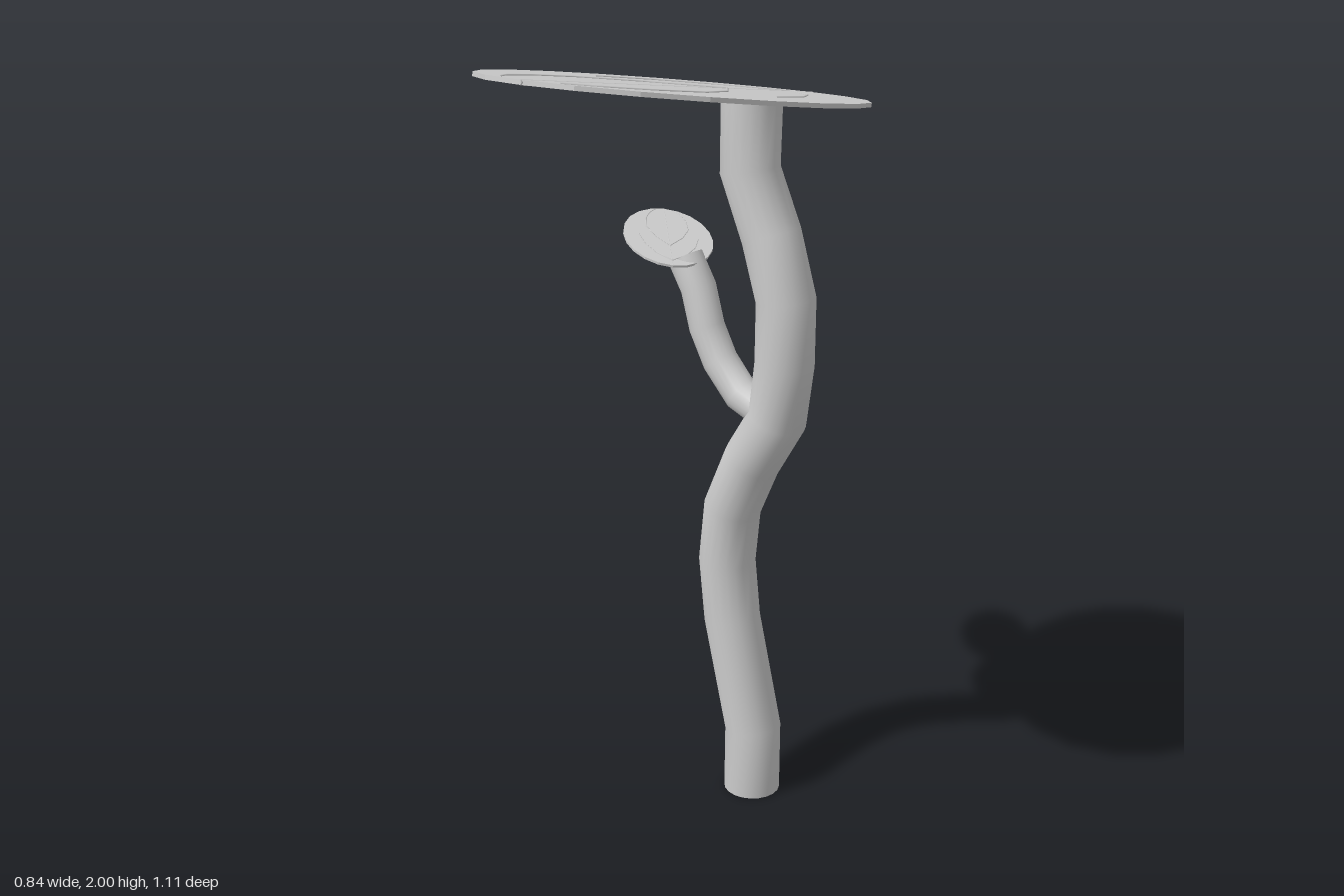
import * as THREE from 'three';
import { toCreasedNormals } from 'three/addons/utils/BufferGeometryUtils.js';

const grey = new THREE.MeshStandardMaterial({ color: 0xcccccc });
const greyFlat = new THREE.MeshStandardMaterial({ color: 0xcccccc, flatShading: true });

function addMesh(parent, name, geometry, material) {
  const mesh = new THREE.Mesh(geometry, material);
  mesh.name = name;
  parent.add(mesh);
  return mesh;
}

// Round stalk: a cylinder whose rows follow [x, y] points in the plane z
function stalk(points, radius, z, topSlope) {
  const last = points.length - 1;
  const geo = new THREE.CylinderGeometry(radius, radius, 1, 20, last);
  const pos = geo.attributes.position;
  for (let i = 0; i < pos.count; i++) {
    const row = Math.round((pos.getY(i) + 0.5) * last);
    const [x, y] = points[row];
    const a = points[Math.max(row - 1, 0)], b = points[Math.min(row + 1, last)];
    const length = Math.hypot(b[0] - a[0], b[1] - a[1]);
    const side = pos.getX(i), depth = pos.getZ(i);
    const lift = row === last ? topSlope * depth : 0;
    pos.setXYZ(i, x + side * (b[1] - a[1]) / length,
      y - side * (b[0] - a[0]) / length + lift, z + depth);
  }
  return toCreasedNormals(geo, 0.8);
}

// Straight-segment tube for a vein
function vein(points, radius) {
  const path = new THREE.CurvePath();
  for (let i = 1; i < points.length; i++) path.add(new THREE.LineCurve3(points[i - 1], points[i]));
  return new THREE.TubeGeometry(path, (points.length - 1) * 6, radius, 5);
}

// Side veins in leaf coordinates: [across, along]
const sideVeins = [
  [[0, 0.83], [0.35, 0.59], [0.56, 0.32], [0.66, 0.01]],
  [[0, 0.33], [0.31, 0.02], [0.47, -0.28], [0.455, -0.57], [0.355, -0.8], [0.21, -0.95]],
];

// Flat oval leaf spanned by its half-length and half-width vectors
function leaf(name, center, along, across, thickness, veinRadius) {
  const group = new THREE.Group();
  group.name = name;
  const up = new THREE.Vector3().crossVectors(across, along).normalize();
  const frame = new THREE.Matrix4().makeBasis(across.clone().negate(), up, along).setPosition(center);
  const blade = new THREE.CylinderGeometry(1, 1, thickness, 20).applyMatrix4(frame);
  addMesh(group, 'leafBlade', blade, greyFlat);

  const at = (s, c, h) => new THREE.Vector3(s, h, c).applyMatrix4(frame);
  const top = thickness / 2;
  addMesh(group, 'midrib', vein([at(0, -1.005, 0), at(0, 1.005, 0)], top + veinRadius * 0.5), grey);
  for (const line of sideVeins) {
    for (const mirror of [-1, 1]) {
      const points = line.map(([s, c]) => at(s * mirror, c, top));
      addMesh(group, 'sideVein', vein(points, veinRadius), grey);
    }
  }
  return group;
}

export function createModel() {
  const model = new THREE.Group();
  model.name = 'plant';
  const V = (x, y, z) => new THREE.Vector3(x, y, z);

  // Winding main stem, cut on a slant under the leaf
  addMesh(model, 'mainStem', stalk([
    [0.047, 0], [0.047, 0.18], [-0.028, 0.475], [-0.047, 0.635], [-0.032, 0.785], [0.03, 0.93],
    [0.105, 1.055], [0.123, 1.2], [0.123, 1.36], [0.075, 1.51], [0.007, 1.66], [0.009, 1.84],
  ], 0.073, -0.303, 0.18), grey);

  // Side branch
  addMesh(model, 'sideBranch', stalk([
    [0.08, 1.06], [-0.01, 1.093], [-0.078, 1.165], [-0.122, 1.245], [-0.15, 1.34], [-0.193, 1.41],
  ], 0.045, -0.303, 0), grey);

  // Large leaf on the stem, small leaf on the branch
  model.add(leaf('largeLeaf', V(0.05, 1.898, 0), V(-0.055, -0.096, -0.55), V(0.37, 0.005, -0.03), 0.01, 0.003));
  model.add(leaf('smallLeaf', V(-0.28, 1.438, -0.338), V(0.113, -0.031, 0.113), V(-0.08, 0.014, 0.08), 0.006, 0.0015));
  return model;
}
